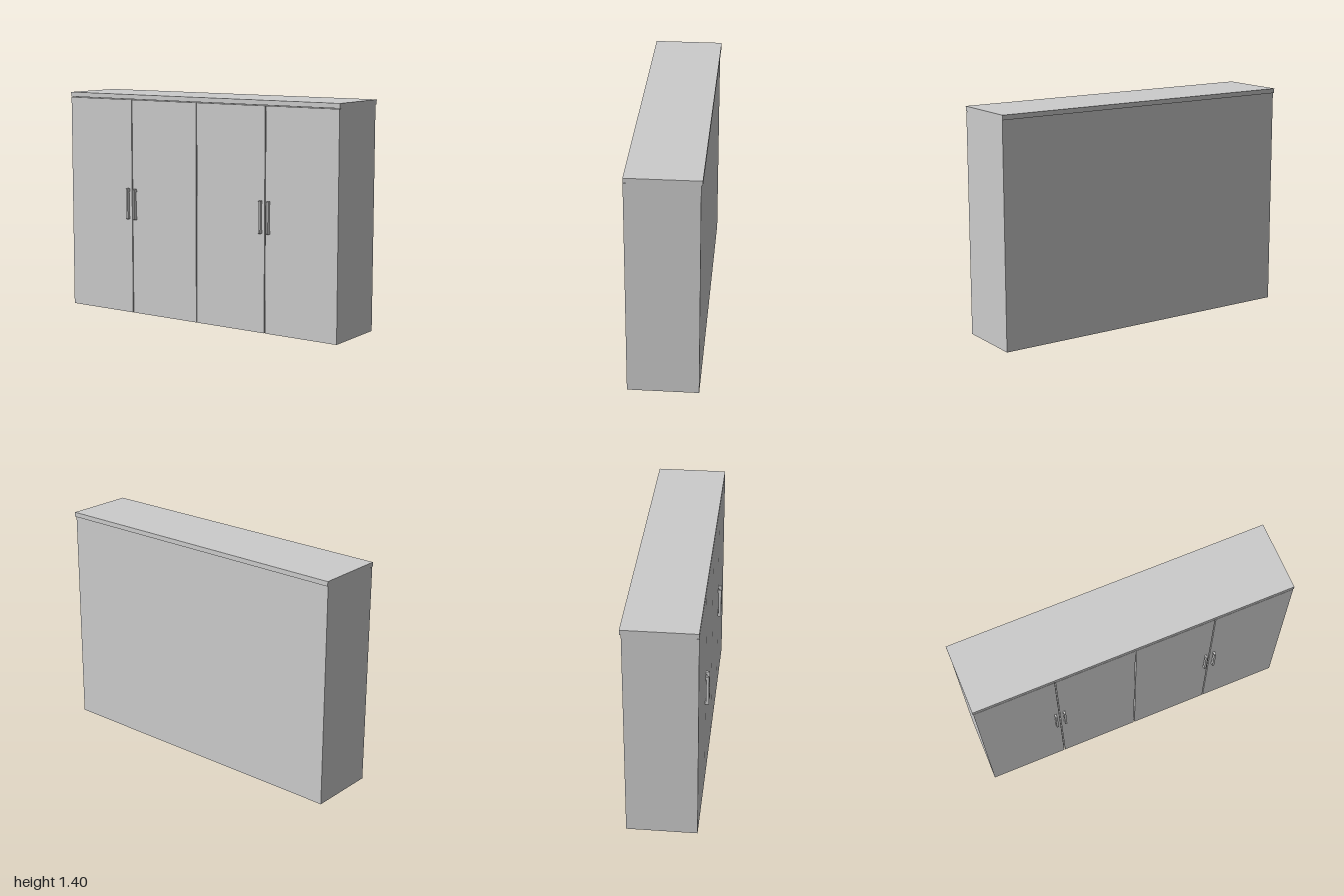
import * as THREE from 'three';

const material = new THREE.MeshStandardMaterial({ color: 0xcccccc, flatShading: true });

// Box given by its min and max corners
function box(name, [x0, y0, z0], [x1, y1, z1]) {
  const geometry = new THREE.BoxGeometry(x1 - x0, y1 - y0, z1 - z0);
  geometry.translate((x0 + x1) / 2, (y0 + y1) / 2, (z0 + z1) / 2);
  const mesh = new THREE.Mesh(geometry, material);
  mesh.name = name;
  return mesh;
}

// Bow handle: a C profile (x = outward, y = up) extruded across its width
function handle(x, front) {
  const width = 0.013, bottom = 0.605, top = 0.802, out = 0.023, inner = 0.006, foot = 0.02, c = 0.004;
  const points = [
    [0, bottom], [out - c, bottom], [out, bottom + c], [out, top - c], [out - c, top], [0, top],
    [0, top - foot], [inner, top - foot], [inner, bottom + foot], [0, bottom + foot],
  ];
  const shape = new THREE.Shape(points.map(([px, py]) => new THREE.Vector2(px, py)));
  const geometry = new THREE.ExtrudeGeometry(shape, { depth: width, bevelEnabled: false });
  geometry.translate(0, 0, -width / 2);
  geometry.rotateY(-Math.PI / 2);
  const mesh = new THREE.Mesh(geometry, material);
  mesh.name = 'handle';
  mesh.position.set(x, 0, front);
  return mesh;
}

export function createModel() {
  const group = new THREE.Group();
  group.name = 'wardrobe';
  const side = 0.997, back = -0.218, front = 0.207, doorBack = 0.19, lidBottom = 1.368, gap = 0.006;

  // Carcass and overhanging top panel
  group.add(box('carcass', [-side, 0, back], [side, lidBottom, doorBack]));
  group.add(box('topPanel', [-1, lidBottom, -0.227], [1, 1.397, front]));

  // Four doors separated by narrow gaps
  for (let i = 0; i < 4; i++) {
    const x0 = i === 0 ? -side : -1 + i * 0.5 + gap / 2;
    const x1 = i === 3 ? side : -0.5 + i * 0.5 - gap / 2;
    group.add(box('door', [x0, 0, doorBack], [x1, lidBottom - 0.004, front]));
  }

  // A pair of handles beside each outer gap
  for (const s of [-0.5, 0.5]) {
    for (const d of [-0.028, 0.028]) group.add(handle(s + d, front));
  }
  return group;
}
